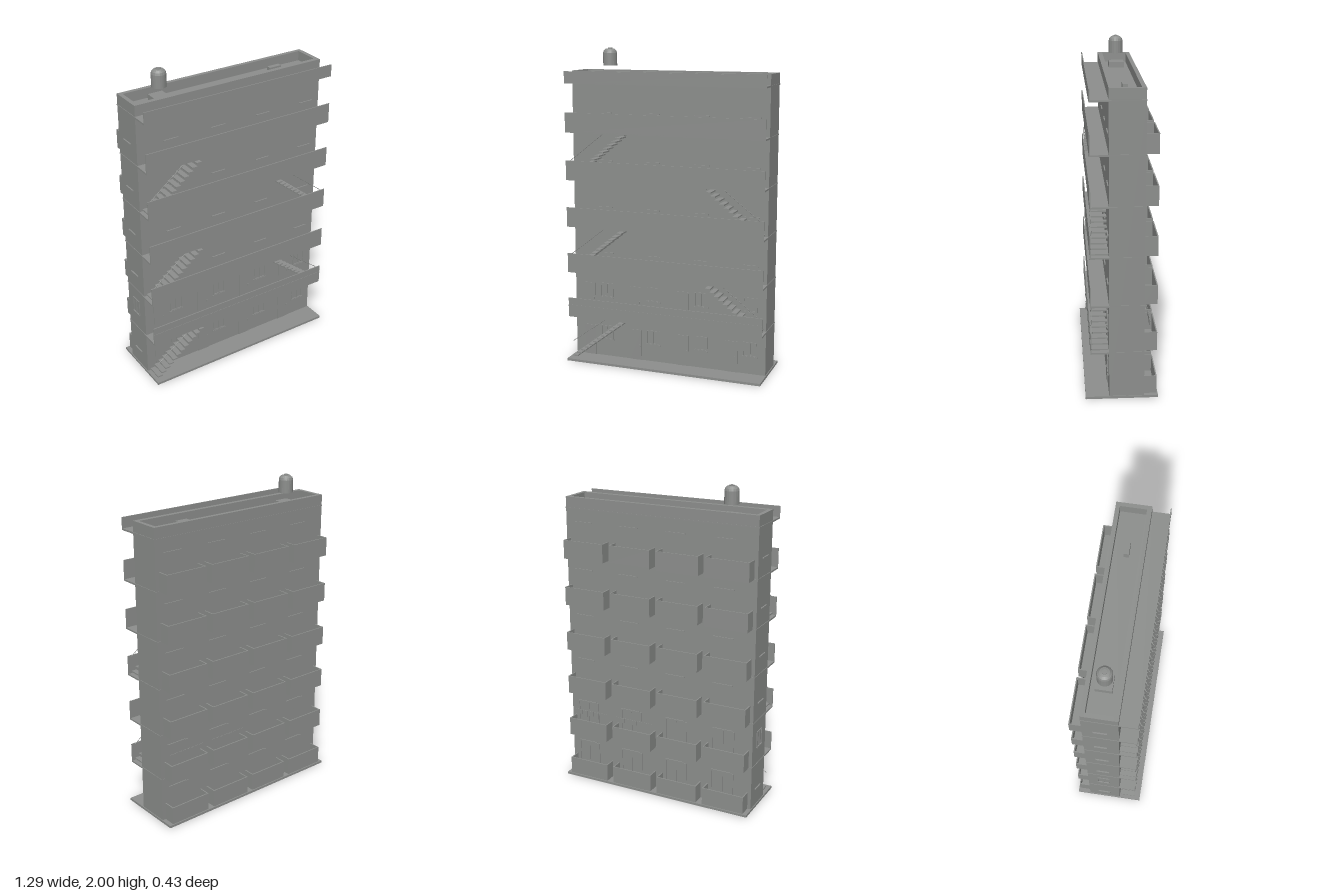
import * as THREE from 'three';

export function createModel() {
  const root = new THREE.Group();
  root.name = 'apartmentBlock';
  const concrete = new THREE.MeshStandardMaterial({ color: 0x8c8e8c });
  concrete.name = 'concrete grey';

  const add = (parent, name, geometry) => {
    const m = new THREE.Mesh(geometry, concrete);
    m.name = name;
    parent.add(m);
    return m;
  };
  // Box given by its minimum and maximum on each axis
  const box = (parent, name, x0, x1, y0, y1, z0, z1) => {
    const m = add(parent, name, new THREE.BoxGeometry(x1 - x0, y1 - y0, z1 - z0));
    m.position.set((x0 + x1) / 2, (y0 + y1) / 2, (z0 + z1) / 2);
    return m;
  };
  const group = (name) => {
    const g = new THREE.Group();
    g.name = name;
    root.add(g);
    return g;
  };

  const W = 0.64, FRONT = 0.075, BACK = -0.132, EDGE = 0.184;
  const levels = [0.015, 0.3, 0.595, 0.893, 1.192, 1.492];
  const bays = [-0.48, -0.16, 0.16, 0.48];

  // Plinth and main block
  box(root, 'plinth', -0.645, 0.645, 0, 0.015, -0.215, 0.215);
  box(root, 'mainBlock', -W, W, 0.015, 1.8, BACK, FRONT);

  // Roof parapet, tank and hatch
  const roof = group('roof');
  box(roof, 'parapetFront', -W, W, 1.8, 1.86, 0.047, FRONT);
  box(roof, 'parapetBack', -W, W, 1.8, 1.86, BACK, -0.107);
  for (const s of [-1, 1]) {
    const m = box(roof, 'parapetSide', -0.0125, 0.0125, 1.8, 1.86, -0.107, 0.047);
    m.position.x = s * (W - 0.0125);
  }
  box(roof, 'tankBase', -0.472, -0.378, 1.8, 1.835, -0.08, 0.015);
  box(roof, 'roofHatch', 0.332, 0.415, 1.8, 1.84, -0.045, -0.015);
  const profile = [[0, 1.89], [0.044, 1.89], [0.044, 1.968], [0.04, 1.982], [0.028, 1.993], [0.014, 1.995], [0.014, 2], [0, 2]];
  const tank = add(roof, 'waterTank', new THREE.LatheGeometry(profile.map(p => new THREE.Vector2(...p)), 20));
  tank.geometry = tank.geometry.toNonIndexed();
  tank.geometry.computeVertexNormals();
  tank.position.set(-0.425, 0, -0.03);

  // Access galleries along the front, open at both ends
  const galleries = group('galleries');
  [...levels.slice(1), 1.795].forEach((y, i) => {
    const top = i === 5 ? 1.86 : y + 0.115;
    box(galleries, 'gallerySlab', -0.643, 0.643, y - 0.01, y, FRONT, EDGE);
    box(galleries, 'galleryParapet', -0.643, 0.643, y - 0.01, top, EDGE - 0.006, EDGE);
    box(galleries, 'floorBand', -0.643, 0.643, y - 0.006, y, BACK - 0.002, FRONT);
  });
  box(galleries, 'parapetStrip', -0.643, 0.643, 0.36, 0.37, EDGE, EDGE + 0.002);

  // Stair flights alternate sides, with open treads and a thin handrail
  const stairs = group('stairs');
  for (let f = 0; f < 5; f++) {
    const side = f % 2 ? 1 : -1, y0 = levels[f], rise = levels[f + 1] - y0;
    const steps = 13, run = 0.37;
    for (let i = 0; i < steps; i++) {
      const y = y0 + rise * (i + 0.5) / steps;
      const t = box(stairs, 'tread', -0.017, 0.017, y - 0.004, y + 0.004, FRONT + 0.003, EDGE - 0.008);
      t.position.x = side * (0.62 - run * (i + 0.5) / steps);
    }
    const a = new THREE.Vector3(side * 0.62, y0 + 0.11, EDGE - 0.01);
    const b = new THREE.Vector3(side * 0.385, y0 + rise - 0.005, EDGE - 0.01);
    add(stairs, 'handrail', new THREE.TubeGeometry(new THREE.LineCurve3(a, b), 1, 0.002, 6));
  }

  // Frame with uprights and optional sill lying on a wall; dir is the outward z
  const frame = (parent, name, cx, y0, y1, w, wall, dir, bars) => {
    const z = [wall, wall + dir * 0.005].sort((p, q) => p - q);
    const t = 0.005;
    box(parent, name + 'Head', cx - w / 2, cx + w / 2, y1 - t, y1, ...z);
    box(parent, name + 'Foot', cx - w / 2, cx + w / 2, y0, y0 + t, ...z);
    for (let i = 0; i <= bars; i++) {
      const x = cx - w / 2 + t / 2 + (w - t) * i / bars;
      box(parent, name + 'Upright', x - t / 2, x + t / 2, y0 + t, y1 - t, ...z);
    }
  };

  // Front doors, windows and sills; back balcony doors
  const openings = group('openings');
  levels.forEach((y, f) => {
    for (const c of bays) {
      box(openings, 'frontSill', c + 0.012, c + 0.108, y + 0.108, y + 0.115, FRONT, FRONT + 0.007);
      box(openings, 'backLintel', c - 0.02, c + 0.11, y + 0.215, y + 0.22, BACK - 0.006, BACK);
      if (f > 1) continue;
      frame(openings, 'window', c + 0.06, y + 0.115, y + 0.205, 0.086, FRONT, 1, 2);
      box(openings, 'frontDoor', c - 0.1, c - 0.02, y, y + 0.2, FRONT, FRONT + 0.004);
      box(openings, 'doorHandle', c - 0.036, c - 0.03, y + 0.09, y + 0.105, FRONT + 0.004, FRONT + 0.009);
      frame(openings, 'balconyDoor', c + 0.035, y, y + 0.215, 0.15, BACK, -1, 2);
    }
    // Small side window
    box(openings, 'sideSill', -0.648, -W, y + 0.108, y + 0.114, -0.07, 0.01);
    if (f === 1) {
      for (const z of [-0.068, -0.032, 0.004])
        box(openings, 'sideWindowUpright', -0.645, -W, y + 0.114, y + 0.21, z, z + 0.005);
      box(openings, 'sideWindowHead', -0.645, -W, y + 0.21, y + 0.215, -0.068, 0.009);
    }
  });

  // Back balconies: open-topped trays
  const balconies = group('balconies');
  for (const y of levels) {
    for (const c of bays) {
      const x0 = c - 0.138, x1 = c + 0.138, out = -0.208, t = 0.007, top = y + 0.112;
      box(balconies, 'balconyFloor', x0, x1, y - 0.005, y + 0.005, out, BACK);
      box(balconies, 'balconyFront', x0, x1, y + 0.005, top, out, out + t);
      box(balconies, 'balconySide', x0, x0 + t, y + 0.005, top, out + t, BACK);
      box(balconies, 'balconySide', x1 - t, x1, y + 0.005, top, out + t, BACK);
    }
  }
  // Low boxes on two upper balconies
  for (const x of [-0.28, 0.035])
    box(balconies, 'storageBox', x, x + 0.085, 1.497, 1.54, -0.175, -0.145);

  // Washing on lines above two first-floor balconies
  const washing = group('washing');
  for (const x of [0.42, 0.1]) {
    box(washing, 'washingLine', x - 0.07, x + 0.19, 0.467, 0.469, -0.171, -0.169);
    for (let i = 0; i < 4; i++)
      box(washing, 'cloth', x + i * 0.042, x + i * 0.042 + 0.03, 0.425 + (i % 2) * 0.012, 0.467, -0.172, -0.168);
  }
  return root;
}
